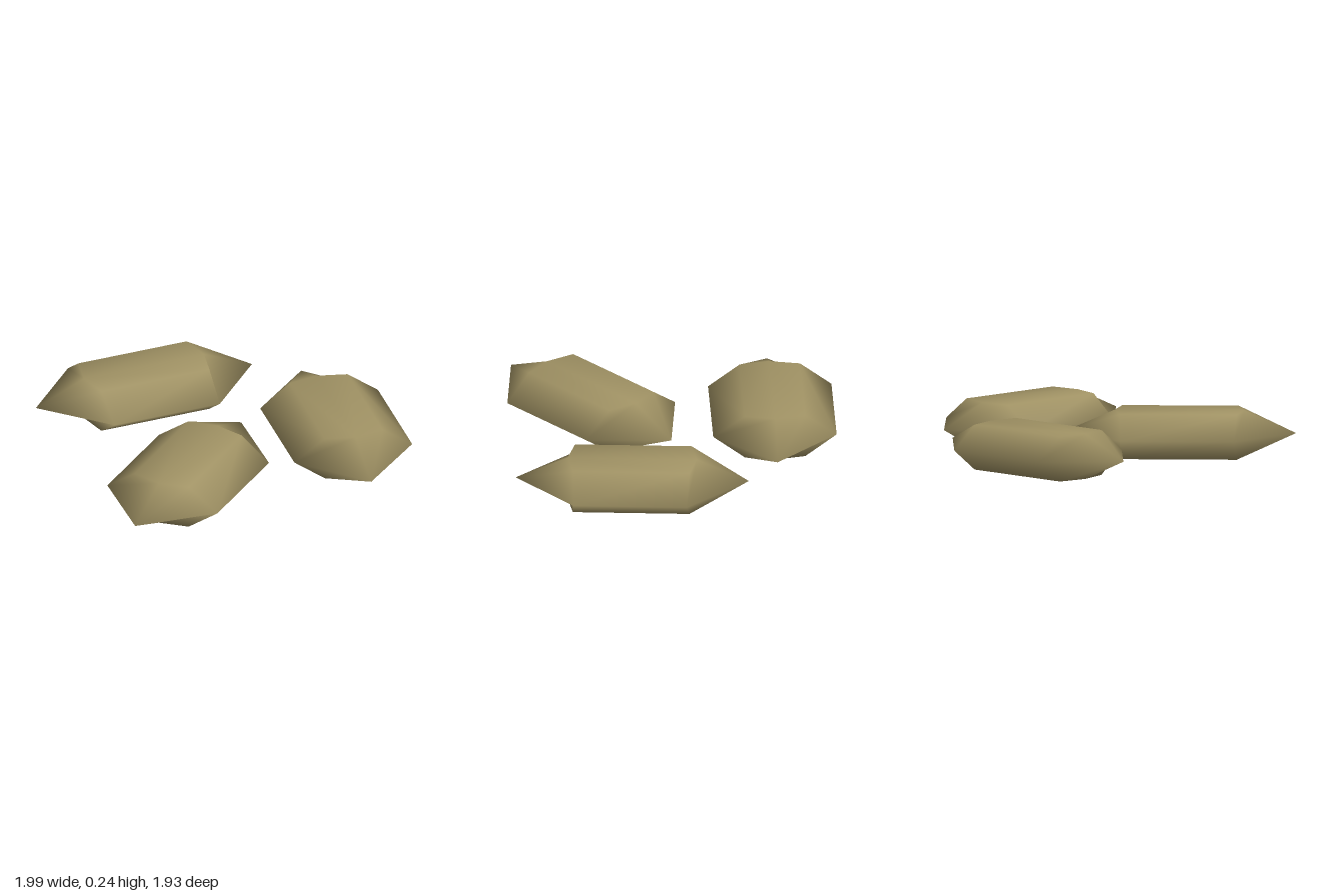
import * as THREE from 'three';

// Half outline of a stone, [across, along], starting at the pointed end
const RIM = [[0, 0.616], [0.326, 0.30]];
const FACE = [[0, 0.342], [0.16, 0.308]];

// Six-cornered ring, counterclockwise seen from above
function ring([[, tip], [w, l]], y) {
  return [[0, tip], [w, l], [w, -l], [0, -tip], [-w, -l], [-w, l]]
    .flatMap(([x, z]) => [x, y, z]);
}

// Flat pebble: small lower face, wide rim, small upper face
function stoneGeometry() {
  const points = [...ring(FACE, 0), ...ring(RIM, 0.12), ...ring(FACE, 0.24)];
  const index = [];
  for (let r = 0; r < 2; r++) {
    for (let i = 0; i < 6; i++) {
      const a = r * 6 + i, b = r * 6 + (i + 1) % 6;
      index.push(a, b, b + 6, a, b + 6, a + 6);
    }
  }
  // Lower and upper faces
  for (let i = 1; i < 5; i++) {
    index.push(0, i + 1, i);
    index.push(12, 12 + i, 13 + i);
  }
  const geometry = new THREE.BufferGeometry();
  geometry.setAttribute('position', new THREE.Float32BufferAttribute(points, 3));
  geometry.setIndex(index);
  geometry.computeVertexNormals();
  return geometry;
}

export function createModel() {
  const model = new THREE.Group();
  model.name = 'stones';
  const material = new THREE.MeshStandardMaterial({ color: 0xa09264 });
  material.name = 'tan stone';
  const geometry = stoneGeometry();

  // Name, x, z and turn of each stone
  const stones = [
    ['rightStone', -0.578, -0.17, -0.449],
    ['backStone', 0.46, -0.535, 1.04],
    ['frontStone', 0.22, 0.365, 0.263],
  ];
  for (const [name, x, z, turn] of stones) {
    const stone = new THREE.Mesh(geometry, material);
    stone.name = name;
    stone.position.set(x, 0, z);
    stone.rotation.y = turn;
    model.add(stone);
  }
  return model;
}
